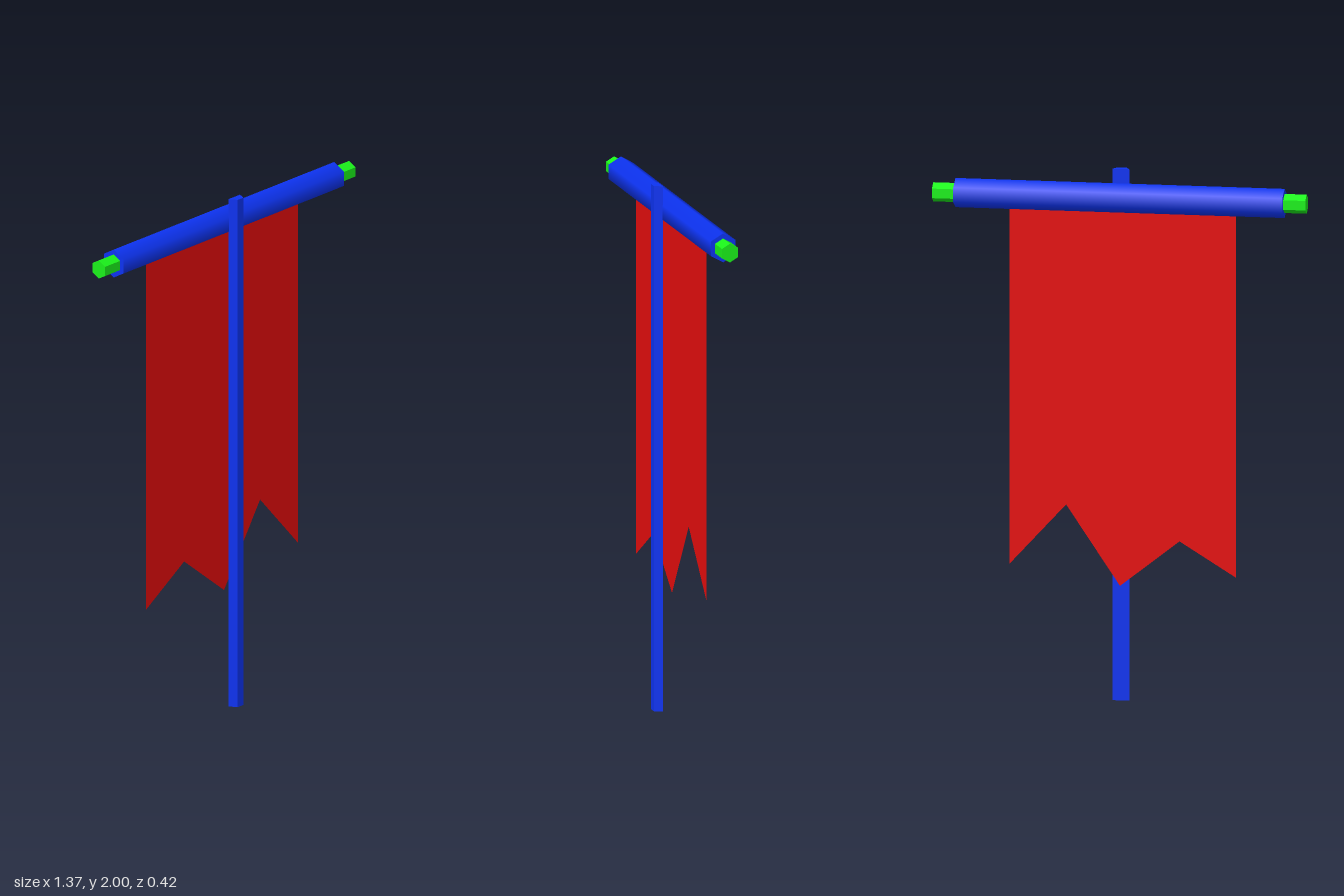
import * as THREE from 'three';

const material = (color, options = {}) => new THREE.MeshStandardMaterial({ color, ...options });

function addMesh(parent, name, geometry, mat) {
  const mesh = new THREE.Mesh(geometry, mat);
  mesh.name = name;
  parent.add(mesh);
  return mesh;
}

// Six-sided rod lying along x, with an edge pointing up
const hexRod = (radius, length) =>
  new THREE.CylinderGeometry(radius, radius, length, 6)
    .rotateY(Math.PI / 2)
    .rotateZ(Math.PI / 2);

const shapeOf = (points) => new THREE.Shape(points.map(([x, y]) => new THREE.Vector2(x, y)));

export function createModel() {
  const model = new THREE.Group();
  model.name = 'bannerStand';
  const blue = material(0x0d33f2);
  const blueFlat = material(0x0d33f2, { flatShading: true });
  const green = material(0x1af21a, { flatShading: true });
  const red = material(0xe60d0d, { side: THREE.DoubleSide });

  // Whole banner stands turned slightly about the vertical
  const banner = new THREE.Group();
  banner.name = 'banner';
  banner.rotation.y = THREE.MathUtils.degToRad(15);
  model.add(banner);

  const barY = 1.9;
  const barHalf = 0.617;

  // Crossbar and its end caps
  addMesh(banner, 'crossbar', hexRod(0.055, barHalf * 2), blue).position.y = barY;
  for (const side of [-1, 1]) {
    const cap = addMesh(banner, side > 0 ? 'leftEndCap' : 'rightEndCap', hexRod(0.036, 0.1), green);
    cap.position.set(side * 0.65, barY, 0);
  }

  // Pole: half-hexagon section, flat back against the crossbar
  const section = shapeOf([[-0.032, 0], [-0.016, -0.031], [0.016, -0.031], [0.032, 0]]);
  const poleGeometry = new THREE.ExtrudeGeometry(section, { depth: 2, bevelEnabled: false })
    .rotateX(-Math.PI / 2);
  addMesh(banner, 'pole', poleGeometry, blueFlat).position.set(0.005, 0, 0.046);

  // Cloth with a ragged, three-pointed hem
  const cloth = shapeOf([
    [-0.435, barY], [-0.435, 0.485], [-0.223, 0.615], [0, 0.44],
    [0.202, 0.74], [0.414, 0.51], [0.414, barY],
  ]);
  addMesh(banner, 'cloth', new THREE.ShapeGeometry(cloth), red);

  return model;
}
